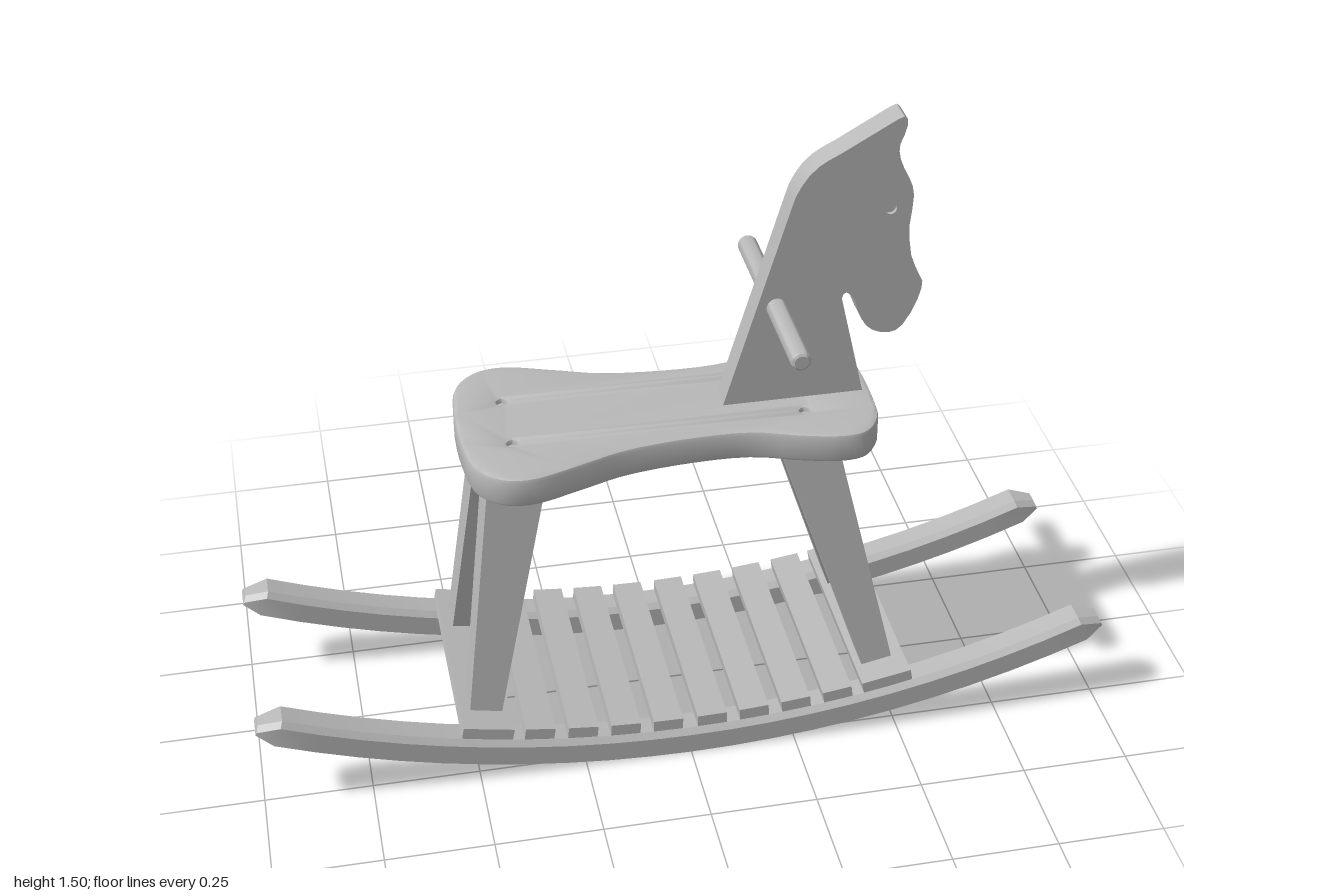
import * as THREE from 'three';
import { toCreasedNormals } from 'three/addons/utils/BufferGeometryUtils.js';

const wood = new THREE.MeshStandardMaterial({ color: 0xb8b8b8 });
wood.name = 'plainWood';

const ARC_R = 2.6;     // radius of the rocker underside
const RAIL_H = 0.064;  // rocker thickness

// point on the rocker arc, t above the underside
const onArc = (angle, t, z = 0) => new THREE.Vector3(
  (ARC_R - t) * Math.sin(angle), ARC_R - (ARC_R - t) * Math.cos(angle), z);

function add(parent, name, geometry) {
  const mesh = new THREE.Mesh(geometry, wood);
  mesh.name = name;
  parent.add(mesh);
  return mesh;
}

// closed solid through rings of points running along +x
function loft(rings) {
  const n = rings[0].length, last = (rings.length - 1) * n, index = [];
  for (let i = 0; i < last; i += n) {
    for (let j = 0; j < n; j++) {
      const a = i + j, b = i + (j + 1) % n;
      index.push(a, b, b + n, a, b + n, a + n);
    }
  }
  for (let k = 1; k < n - 1; k++) {
    index.push(0, k + 1, k, last, last + k, last + k + 1);
  }
  const g = new THREE.BufferGeometry().setFromPoints(rings.flat());
  g.setIndex(index);
  return toCreasedNormals(g, 0.4);
}

// board cut from a shape, edges eased, centred on its thickness
function board(shape, thickness, bevel) {
  const g = new THREE.ExtrudeGeometry(shape, {
    depth: thickness - 2 * bevel, bevelEnabled: bevel > 0, bevelSize: bevel,
    bevelThickness: bevel, bevelOffset: -bevel, bevelSegments: 2, curveSegments: 12,
  });
  g.translate(0, 0, bevel - thickness / 2);
  return toCreasedNormals(g, 0.6);
}

function hole(shape, x, y, r) {
  shape.holes.push(new THREE.Path().absarc(x, y, r, 0, Math.PI * 2, true));
}

// rocker with chamfered upper edges and narrowed tips
function rockerGeometry() {
  const ring = (angle, lo, hi, w) => [
    [w, lo], [-w, lo], [-w, hi - 0.013], [-w + 0.013, hi], [w - 0.013, hi], [w, hi - 0.013],
  ].map(([z, t]) => onArc(angle, t, z));
  const rings = [ring(-0.398, 0.012, 0.032, 0.028)];
  const steps = 20, end = 0.38;
  for (let i = 0; i <= steps; i++) {
    rings.push(ring(-end + (2 * end * i) / steps, 0, RAIL_H, 0.039));
  }
  rings.push(ring(0.398, 0.012, 0.032, 0.028));
  return loft(rings);
}

// splayed, tapered leg for the +z side; sx picks rear or front
function legGeometry(topX, bottomX, sz) {
  const g = new THREE.BoxGeometry(1, 1, 1);
  const p = g.attributes.position;
  for (let i = 0; i < p.count; i++) {
    const k = p.getY(i) + 0.5; // 0 at the foot, 1 at the seat
    const mix = THREE.MathUtils.lerp;
    p.setXYZ(i,
      mix(bottomX, topX, k) + p.getX(i) * mix(0.075, 0.135, k),
      mix(0.122, 0.735, k),
      sz * mix(0.162, 0.086, k) + p.getZ(i) * mix(0.08, 0.093, k));
  }
  g.computeVertexNormals();
  return g;
}

export function createModel() {
  const model = new THREE.Group();
  model.name = 'rockingHorse';

  // rockers
  const rocker = rockerGeometry();
  for (const s of [1, -1]) {
    add(model, s > 0 ? 'leftRocker' : 'rightRocker', rocker).position.z = s * 0.242;
  }

  // slats and wide end plates lying across the rockers
  const deck = new THREE.Group();
  deck.name = 'deck';
  model.add(deck);
  const lay = (name, x, width) => {
    const angle = Math.asin(x / (ARC_R - RAIL_H));
    const m = add(deck, name, new THREE.BoxGeometry(width, 0.03, 0.535));
    m.position.copy(onArc(angle, RAIL_H + 0.015));
    m.rotation.z = angle;
  };
  for (const s of [1, -1]) {
    for (let i = 0; i < 4; i++) lay('slat', s * (0.053 + i * 0.102), 0.07);
    lay('endPlate', s * 0.48, 0.12);
  }

  // legs
  for (const s of [1, -1]) {
    add(model, 'rearLeg', legGeometry(-0.368, -0.475, s));
    add(model, 'frontLeg', legGeometry(0.3, 0.472, s));
  }

  // waisted seat with peg holes over the legs
  const half = [
    [-0.483, 0.07], [-0.465, 0.17], [-0.415, 0.222], [-0.35, 0.234], [-0.235, 0.2],
    [-0.13, 0.165], [0.03, 0.146], [0.165, 0.151], [0.27, 0.185], [0.365, 0.205],
    [0.417, 0.195], [0.455, 0.145], [0.467, 0.06],
  ];
  const outline = [...half, ...half.map(([x, z]) => [x, -z]).reverse()].reverse();
  const curve = new THREE.CatmullRomCurve3(
    outline.map(([x, z]) => new THREE.Vector3(x, z, 0)), true);
  const seatShape = new THREE.Shape(
    curve.getPoints(90).slice(0, -1).map(v => new THREE.Vector2(v.x, v.y)));
  const pegs = [[-0.37, 0.085], [-0.37, -0.085], [0.3, 0.085], [0.3, -0.085]];
  pegs.forEach(([x, z]) => hole(seatShape, x, z, 0.011));
  const seat = add(model, 'seat', board(seatShape, 0.073, 0.01));
  seat.rotation.x = -Math.PI / 2;
  seat.position.y = 0.768;
  for (const [x, z] of pegs) {
    add(model, 'seatPeg', new THREE.CylinderGeometry(0.012, 0.012, 0.058, 16))
      .position.set(x, 0.763, z);
  }

  // flat cut-out head and neck with a recessed eye
  const head = new THREE.Shape([
    [0.12, 0.8], [0.449, 0.8], [0.39, 1.055], [0.393, 1.066], [0.4, 1.07], [0.411, 1.062],
    [0.422, 1.044], [0.428, 1.02], [0.438, 0.996], [0.45, 0.977], [0.465, 0.964],
    [0.484, 0.956], [0.503, 0.953], [0.52, 0.957], [0.535, 0.97], [0.553, 1.0],
    [0.567, 1.034], [0.574, 1.06], [0.575, 1.08], [0.557, 1.118], [0.545, 1.15],
    [0.539, 1.19], [0.537, 1.227], [0.541, 1.265], [0.543, 1.3], [0.539, 1.323],
    [0.53, 1.345], [0.517, 1.37], [0.508, 1.393], [0.504, 1.412], [0.505, 1.43],
    [0.514, 1.453], [0.519, 1.473], [0.519, 1.488], [0.511, 1.495], [0.497, 1.49],
    [0.374, 1.42], [0.348, 1.407], [0.326, 1.393], [0.305, 1.373], [0.289, 1.35],
    [0.276, 1.325], [0.267, 1.296],
  ].map(([x, y]) => new THREE.Vector2(x, y)));
  hole(head, 0.492, 1.273, 0.014);
  add(model, 'head', board(head, 0.063, 0));
  const eye = add(model, 'eyes', new THREE.CylinderGeometry(0.015, 0.015, 0.045, 20));
  eye.rotation.x = Math.PI / 2;
  eye.position.set(0.492, 1.273, 0);

  // round handle with eased ends
  const rod = [[0, -0.266], [0.016, -0.266], [0.021, -0.262], [0.023, -0.255],
    [0.023, 0.255], [0.021, 0.262], [0.016, 0.266], [0, 0.266]];
  const handle = add(model, 'handle', toCreasedNormals(new THREE.LatheGeometry(
    rod.map(([r, y]) => new THREE.Vector2(r, y)), 28), 0.6));
  handle.rotation.x = Math.PI / 2;
  handle.position.set(0.24, 1.05, 0);

  return model;
}
